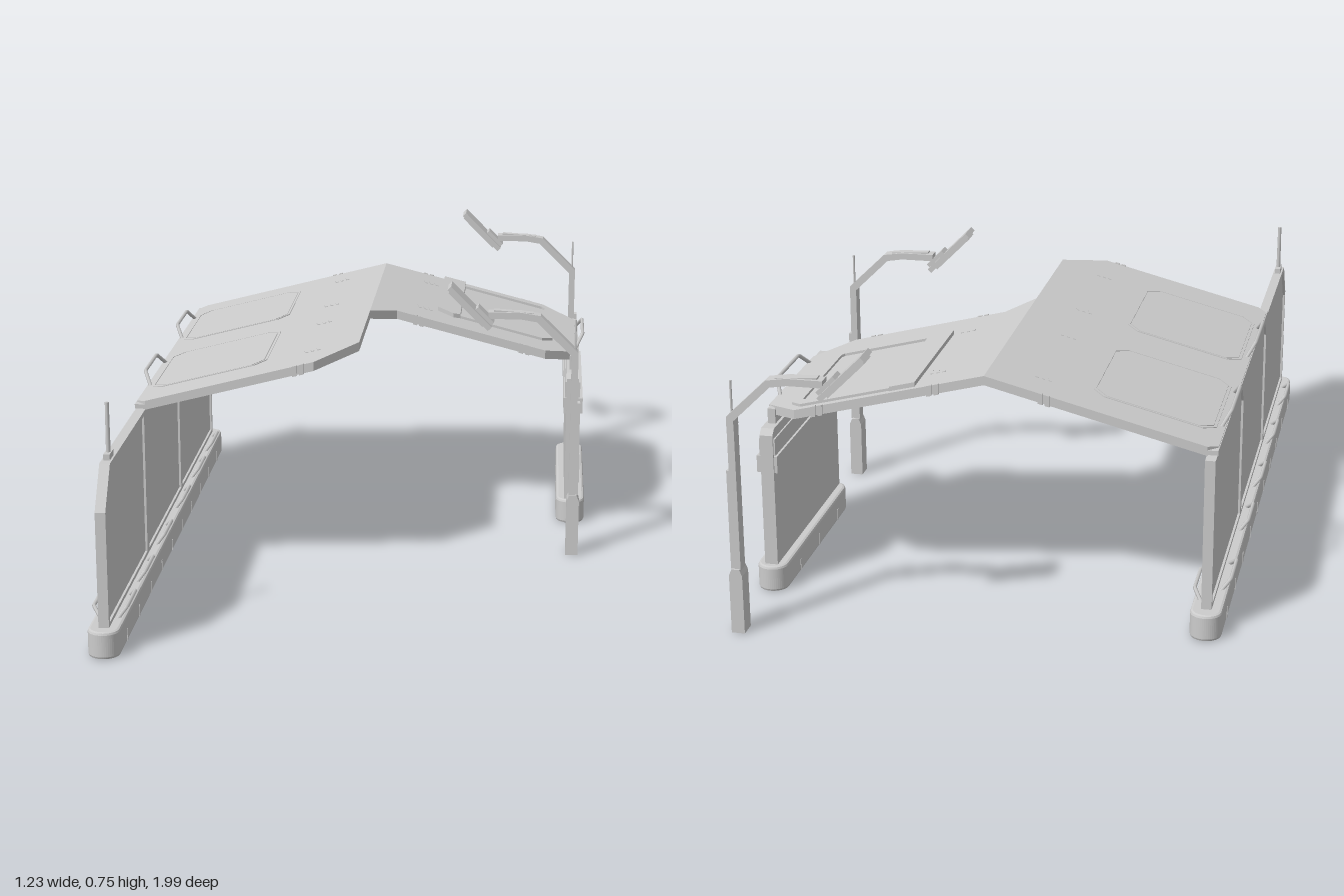
import * as THREE from 'three';

const mat = new THREE.MeshStandardMaterial({ color: 0xcccccc, side: THREE.DoubleSide });
const roofY = (x) => 0.63 - 0.257 * Math.abs(x);
const toShape = (pts) => new THREE.Shape(pts.map(([a, b]) => new THREE.Vector2(a, b)));

export function createModel() {
  const root = new THREE.Group();

  function add(name, geo, parent = root) {
    const mesh = new THREE.Mesh(geo, mat);
    mesh.name = name;
    parent.add(mesh);
    return mesh;
  }
  function box(name, w, h, d, x, y, z, parent) {
    const mesh = add(name, new THREE.BoxGeometry(w, h, d), parent);
    mesh.position.set(x, y, z);
    return mesh;
  }
  // Outline in (x, z), laid on the roof slope; top sits `lift` above it
  function slab(name, pts, lift, thick, holePts) {
    const shape = toShape(pts);
    if (holePts) shape.holes.push(toShape(holePts));
    const geo = new THREE.ExtrudeGeometry(shape, { depth: thick, bevelEnabled: false }).rotateX(Math.PI / 2);
    const p = geo.attributes.position;
    for (let i = 0; i < p.count; i++) p.setY(i, p.getY(i) + roofY(p.getX(i)) + lift);
    geo.computeVertexNormals();
    return add(name, geo);
  }
  // Outline in (z, y), extruded across x and centred on it
  function sheet(name, pts, x, thick, holePts) {
    const shape = toShape(pts);
    if (holePts) shape.holes.push(toShape(holePts));
    const geo = new THREE.ExtrudeGeometry(shape, { depth: thick, bevelEnabled: false })
      .rotateY(-Math.PI / 2).translate(x + thick / 2, 0, 0);
    return add(name, geo);
  }
  // Rectangle with cut corners
  const cutRect = (a0, a1, b0, b1, c) => [
    [a0 + c, b0], [a1 - c, b0], [a1, b0 + c], [a1, b1 - c],
    [a1 - c, b1], [a0 + c, b1], [a0, b1 - c], [a0, b0 + c]];
  // Bent square rod through points
  function rod(name, pts, r) {
    const path = new THREE.CurvePath();
    const v = pts.map((p) => new THREE.Vector3(...p));
    for (let i = 1; i < v.length; i++) path.add(new THREE.LineCurve3(v[i - 1], v[i]));
    return add(name, new THREE.TubeGeometry(path, 32, r, 6));
  }
  // Trapezoid grab rail leaning sideways from an edge along z
  function grabRail(name, x, y, z, len, dx, dy, r) {
    const h = len / 2, k = h * 0.68;
    rod(name, [[x, y, z - h], [x + dx, y + dy, z - k], [x + dx, y + dy, z + k], [x, y, z + h]], r);
  }
  // Round-ended plinth
  function plinth(name, x, z0, z1) {
    const r = 0.033, s = new THREE.Shape();
    s.absarc(0, z1 - 0.04, r, 0, Math.PI, false);
    s.absarc(0, z0 + 0.04, r, Math.PI, Math.PI * 2, false);
    const geo = new THREE.ExtrudeGeometry(s, {
      depth: 0.056, bevelThickness: 0.007, bevelSize: 0.007, bevelSegments: 2, curveSegments: 12,
    }).rotateX(Math.PI / 2).translate(x, 0.063, 0);
    add(name, geo);
    // joint strips across the sides
    for (let z = z0 + 0.14; z < z1 - 0.1; z += 0.17) box(name + 'Joint', 0.083, 0.03, 0.006, x, 0.02, z);
  }

  // Long wall: plinth, three framed bays, rails, aerial
  const wx = -0.567;
  plinth('longPlinth', wx, -0.805, 0.99);
  [[0.4, 0.955, 0.075], [-0.16, 0.4, 0], [-0.765, -0.16, 0]].forEach(([z0, z1, c]) => {
    const top = 0.465, b = 0.013, cut = Math.max(c, 0.035);
    const outer = c
      ? [[z0, 0.06], [z1, 0.06], [z1, top - c * 1.35], [z1 - c, top], [z0, top]]
      : [[z0, 0.06], [z1, 0.06], [z1, top], [z0, top]];
    const inner = [[z0 + b, 0.08], [z1 - b, 0.08], [z1 - b, top - b - cut * 1.3], [z1 - b - cut, top - b], [z0 + b, top - b]];
    sheet('longWallFrame', outer, wx, 0.026, inner);
    sheet('longWallPanel', inner, wx, 0.014);
  });
  box('longWallCap', 0.03, 0.012, 1.12, wx, 0.472, -0.17);
  for (const z of [0.8, 0.54, 0.245, -0.07, -0.36, -0.63]) grabRail('plinthRailInner', wx + 0.02, 0.066, z, 0.17, 0.02, 0.025, 0.005);
  for (const z of [0.8, 0.47, 0.13, -0.18, -0.56]) grabRail('plinthRailOuter', wx - 0.02, 0.066, z, 0.17, -0.023, 0.025, 0.005);
  box('wallAerialBase', 0.016, 0.02, 0.05, wx, 0.47, 0.83);
  const aerial = add('wallAerial', new THREE.CylinderGeometry(0.005, 0.006, 0.14, 8));
  aerial.position.set(wx, 0.535, 0.83);

  // Short wall: plinth, thick panel, band near the top
  const sx = 0.57;
  plinth('shortPlinth', sx, -0.74, -0.145);
  sheet('shortWallPanel', [[-0.72, 0.06], [-0.16, 0.06], [-0.16, 0.425], [-0.175, 0.44], [-0.705, 0.44], [-0.72, 0.425]], sx, 0.034);
  box('shortWallBand', 0.054, 0.045, 0.55, sx + 0.002, 0.345, -0.44);
  box('shortWallUpperBand', 0.042, 0.045, 0.55, sx, 0.392, -0.44);
  box('shortWallHead', 0.02, 0.05, 0.46, sx, 0.455, -0.44);

  // Roof: two sloping leaves meeting at the ridge
  slab('roofLeafWide', [[-0.555, -0.73], [0, -0.73], [0, 0.28], [-0.11, 0.39], [-0.555, 0.39], [-0.58, 0.365], [-0.58, -0.705]], 0, 0.024);
  slab('roofLeafNarrow', [[0, -0.73], [0.49, -0.73], [0.585, -0.64], [0.585, -0.26], [0.49, -0.17], [0.07, -0.17], [0, -0.09]], 0, 0.024);

  // Roof access panels
  for (const [z0, z1] of [[-0.625, -0.26], [-0.105, 0.27]]) {
    slab('roofPanelEdge', cutRect(-0.56, -0.25, z0, z1, 0.03), 0.002, 0.006, cutRect(-0.555, -0.255, z0 + 0.005, z1 - 0.005, 0.03));
    slab('roofPanel', cutRect(-0.552, -0.258, z0 + 0.008, z1 - 0.008, 0.03), 0.002, 0.006);
  }
  // Roof hatch with raised lip on the narrow leaf
  slab('hatchFrame', cutRect(0.2, 0.51, -0.71, -0.28, 0.03), 0.007, 0.012, cutRect(0.235, 0.485, -0.675, -0.315, 0.008));
  slab('hatchLip', [[0.18, -0.715], [0.245, -0.715], [0.245, -0.28], [0.225, -0.27], [0.18, -0.3]], 0.012, 0.014);
  // Vent slats
  for (const [x, z] of [[-0.13, -0.62], [0.14, -0.62], [-0.13, -0.29], [0.14, -0.29], [-0.13, -0.07], [-0.13, 0.25]]) {
    for (let i = 0; i < 3; i++) {
      const a = x - 0.02 + i * 0.016, b = z - 0.014;
      slab('ventSlat', [[a, b], [a + 0.008, b], [a + 0.014, b + 0.028], [a + 0.006, b + 0.028]], 0.002, 0.004);
    }
  }
  // Edge clips and stiffening ribs below
  for (const [x, z] of [[-0.15, 0.391], [0.13, -0.169], [0.43, -0.169], [-0.15, -0.731], [0.13, -0.731], [0.43, -0.731]]) {
    for (const o of [-0.009, 0.009]) {
      const a = x + o;
      slab('edgeClip', [[a - 0.006, z - 0.004], [a + 0.006, z - 0.004], [a + 0.006, z + 0.004], [a - 0.006, z + 0.004]], 0.002, 0.028);
    }
  }
  for (const [x, z1] of [[-0.15, 0.36], [0.13, -0.2]]) slab('underRib', cutRect(x - 0.02, x + 0.02, -0.7, z1, 0.015), -0.022, 0.006);

  // Grab rails along the eaves
  for (const z of [-0.445, 0.09]) grabRail('eaveRail', -0.568, 0.478, z, 0.26, -0.022, 0.036, 0.005);
  grabRail('eaveRail', 0.575, 0.475, -0.44, 0.27, 0.022, 0.038, 0.005);

  // Lamp posts
  function lampPost(z) {
    const g = new THREE.Group();
    g.name = 'lampPost';
    g.position.z = z;
    root.add(g);
    const profile = (name, pts, depth) =>
      add(name, new THREE.ExtrudeGeometry(toShape(pts), { depth, bevelEnabled: false }).translate(0, 0, -depth / 2), g);
    profile('postFoot', [[0.556, 0], [0.59, 0], [0.59, 0.155], [0.583, 0.172], [0.563, 0.172], [0.556, 0.155]], 0.046);
    box('postShaft', 0.018, 0.4, 0.034, 0.57, 0.36, 0, g);
    box('postCover', 0.012, 0.26, 0.026, 0.581, 0.3, 0, g);
    box('postSwitchBox', 0.026, 0.08, 0.016, 0.576, 0.245, 0, g);
    profile('lampArm', [[0.561, 0.545], [0.579, 0.545], [0.579, 0.572], [0.476, 0.672], [0.425, 0.68], [0.335, 0.68],
      [0.335, 0.662], [0.423, 0.662], [0.466, 0.655], [0.561, 0.562]], 0.036);
    profile('lampArmCover', [[0.455, 0.678], [0.35, 0.685], [0.35, 0.672], [0.455, 0.668]], 0.022);
    const rodMesh = add('postAerial', new THREE.CylinderGeometry(0.003, 0.003, 0.12, 6), g);
    rodMesh.position.set(0.57, 0.6, 0);
    // tilted lamp head
    const head = new THREE.Group();
    head.name = 'lampHead';
    head.position.set(0.285, 0.693, 0);
    head.rotation.z = -Math.PI / 4;
    g.add(head);
    box('lampShell', 0.155, 0.014, 0.074, 0, 0, 0, head);
    box('lampLens', 0.13, 0.006, 0.058, -0.005, -0.009, 0, head);
    box('lampMount', 0.06, 0.014, 0.044, 0.045, 0.011, 0, head);
  }
  lampPost(0.105);
  lampPost(-0.962);

  return root;
}
